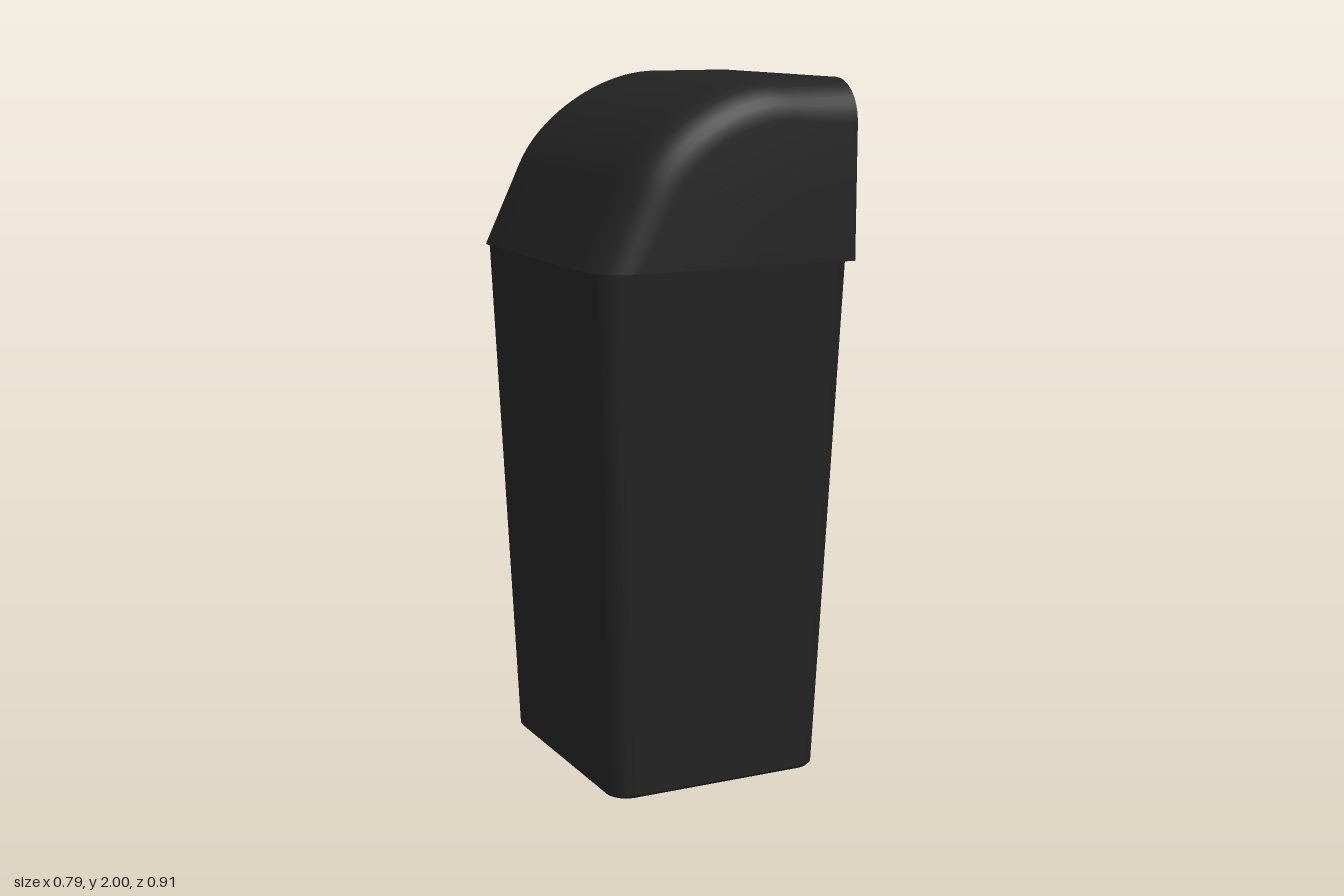
import * as THREE from 'three';
import { mergeGeometries, toCreasedNormals } from 'three/addons/utils/BufferGeometryUtils.js';

// Surface through rows of points; it faces along (row direction) x (point direction)
function grid(rows) {
  const n = rows[0].length, index = [];
  for (let i = 0; i < rows.length - 1; i++) {
    for (let j = 0; j < n - 1; j++) {
      const a = i * n + j, d = a + n;
      const P = rows.flat();
      for (const t of [[a, d, d + 1], [a, d + 1, a + 1]]) {
        const [p, q, r] = t.map(k => P[k]);
        const area = q.clone().sub(p).cross(r.clone().sub(p)).length();
        if (area > 1e-9) index.push(...t);
      }
    }
  }
  const g = new THREE.BufferGeometry().setFromPoints(rows.flat());
  g.setIndex(index);
  return g;
}

// Horizontal rounded rectangle loop, closed
function loop(cx, y, hx, hz, r) {
  const pts = [];
  for (let q = 0; q < 4; q++) {
    const sx = q === 0 || q === 3 ? 1 : -1, sz = q < 2 ? 1 : -1;
    for (let k = 0; k <= 6; k++) {
      const a = (q + k / 6) * Math.PI / 2;
      pts.push(new THREE.Vector3(cx + sx * (hx - r) + r * Math.cos(a), y, sz * (hz - r) + r * Math.sin(a)));
    }
  }
  pts.push(pts[0].clone());
  return pts;
}

// U-shaped hood section as (distance along spoke, z), from -z to +z
function section(len, halfZ, r, bow) {
  const half = [[0, -halfZ], [(len - r) / 2, -halfZ]];
  for (let k = 0; k <= 8; k++) {
    const a = k / 8 * Math.PI / 2;
    half.push([len - r + r * Math.sin(a), -halfZ + r - r * Math.cos(a)]);
  }
  half.push([len + bow * 0.8, -halfZ / 2]);
  const other = half.map(([s, z]) => [s, -z]).reverse();
  return [...half, [len + bow, 0], ...other];
}

export function createModel() {
  const group = new THREE.Group();
  const material = new THREE.MeshStandardMaterial({ color: 0x222222 });
  const add = (name, geometry) => {
    const mesh = new THREE.Mesh(toCreasedNormals(geometry, 0.6), material);
    mesh.name = name;
    group.add(mesh);
  };

  // Tapered hollow body: floor, outer walls, rim, inner walls, inner floor
  add('body', grid([
    loop(0.01, 0, 0, 0, 0),
    loop(0.01, 0, 0.323, 0.368, 0.06),
    loop(0.01, 0.008, 0.33, 0.375, 0.065),
    loop(0.009, 1.51, 0.384, 0.435, 0.065),
    loop(0.009, 1.51, 0.356, 0.407, 0.045),
    loop(0.01, 0.03, 0.303, 0.348, 0.045),
    loop(0.01, 0.03, 0, 0, 0),
  ]));

  // Hood side profile, from the top front edge over to the back lower edge
  const profile = new THREE.CurvePath();
  const v = (x, y) => new THREE.Vector2(x, y);
  profile.add(new THREE.LineCurve(v(0.385, 2), v(0.14, 2)));
  profile.add(new THREE.CubicBezierCurve(v(0.14, 2), v(0, 2), v(-0.21, 1.895), v(-0.285, 1.735)));
  profile.add(new THREE.LineCurve(v(-0.285, 1.735), v(-0.395, 1.5)));

  // Sections swing about the hood's lower front edge, following the profile
  const pivot = v(0.385, 1.5), outer = [], inner = [];
  for (const p of profile.getSpacedPoints(40)) {
    const dir = p.clone().sub(pivot), len = dir.length();
    dir.normalize();
    const place = ([s, z]) => new THREE.Vector3(pivot.x + dir.x * s, pivot.y + dir.y * s, z);
    outer.push(section(len, 0.455, 0.12, 0).map(place));
    inner.push(section(len - 0.058, 0.39, 0.065, 0.014).map(place));
  }
  const last = outer.length - 1;
  add('hood', mergeGeometries([
    grid(outer),
    grid([...inner].reverse()),
    grid([inner[0], outer[0]]),
    grid([outer[last], inner[last]]),
  ]));

  // Sill under the opening
  const sill = new THREE.BoxGeometry(0.035, 0.045, 0.8);
  sill.translate(0.3675, 1.5225, 0);
  add('openingSill', sill);

  return group;
}
